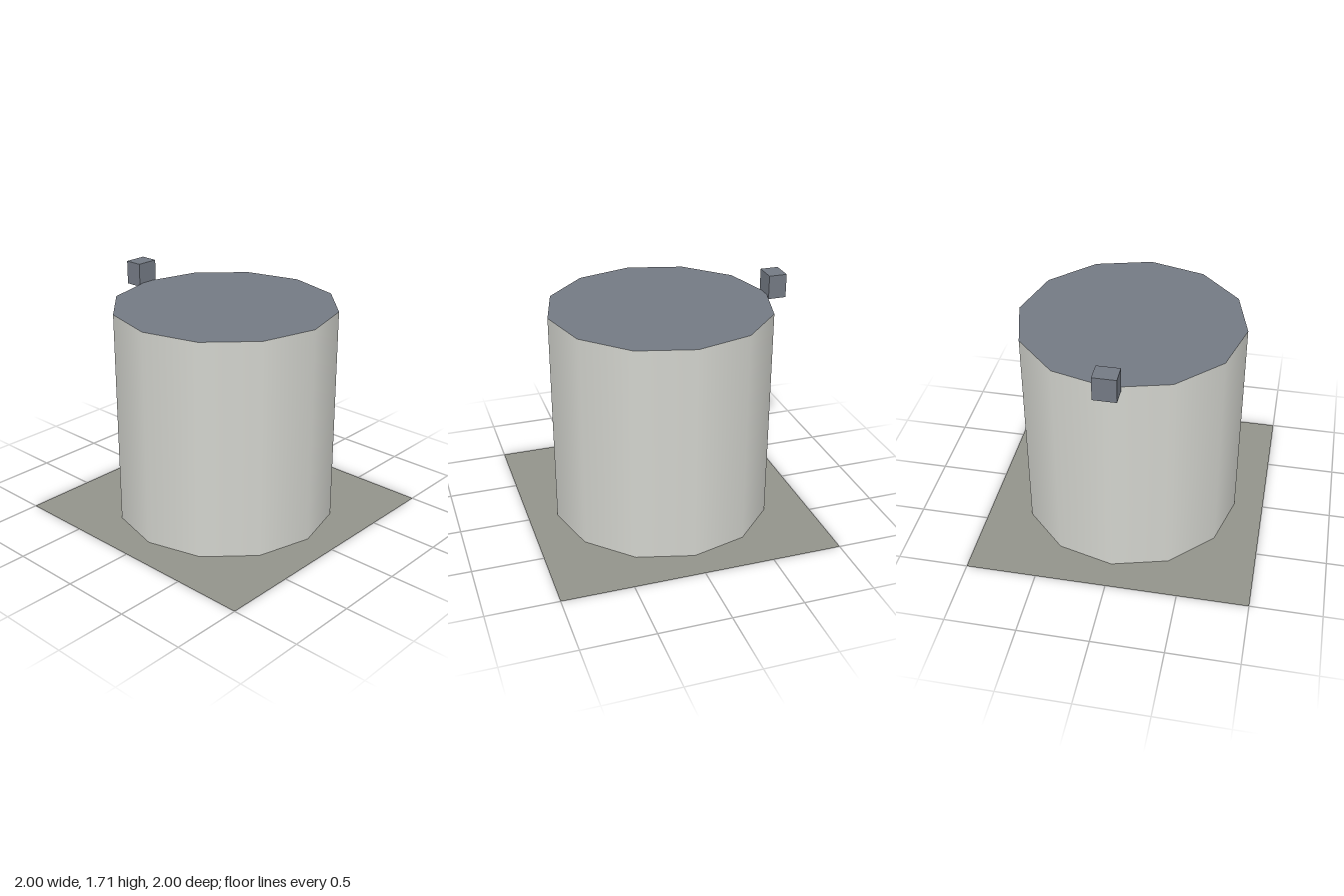
import * as THREE from 'three';

const flat = (name, color) => {
  const material = new THREE.MeshStandardMaterial({ color });
  material.name = name;
  return material;
};

export function createModel() {
  const group = new THREE.Group();
  group.name = 'tank';

  const wallPaint = flat('pale grey wall', 0xd2d3cd);
  const roofPaint = flat('slate grey', 0x737983);
  const groundPaint = flat('olive grey ground', 0x92938a);
  groundPaint.side = THREE.DoubleSide;

  const add = (name, geometry, material, x, y, z) => {
    const mesh = new THREE.Mesh(geometry, material);
    mesh.name = name;
    mesh.position.set(x, y, z);
    group.add(mesh);
    return mesh;
  };

  const radius = 0.79, height = 1.56, sides = 12;

  // Square ground sheet
  add('groundSlab', new THREE.PlaneGeometry(2, 2).rotateX(-Math.PI / 2), groundPaint, 0, 0, 0);

  // Twelve-sided wall with smooth shading
  add('tankWall', new THREE.CylinderGeometry(radius, radius, height, sides, 1, true), wallPaint, 0, height / 2, 0);

  // Flat roof
  add('tankRoof', new THREE.CircleGeometry(radius, sides).rotateX(-Math.PI / 2), roofPaint, 0, height, 0);

  // Small box on the rear rim
  add('rimBox', new THREE.BoxGeometry(0.16, 0.17, 0.13), roofPaint, 0, 1.623, -0.842);

  return group;
}
